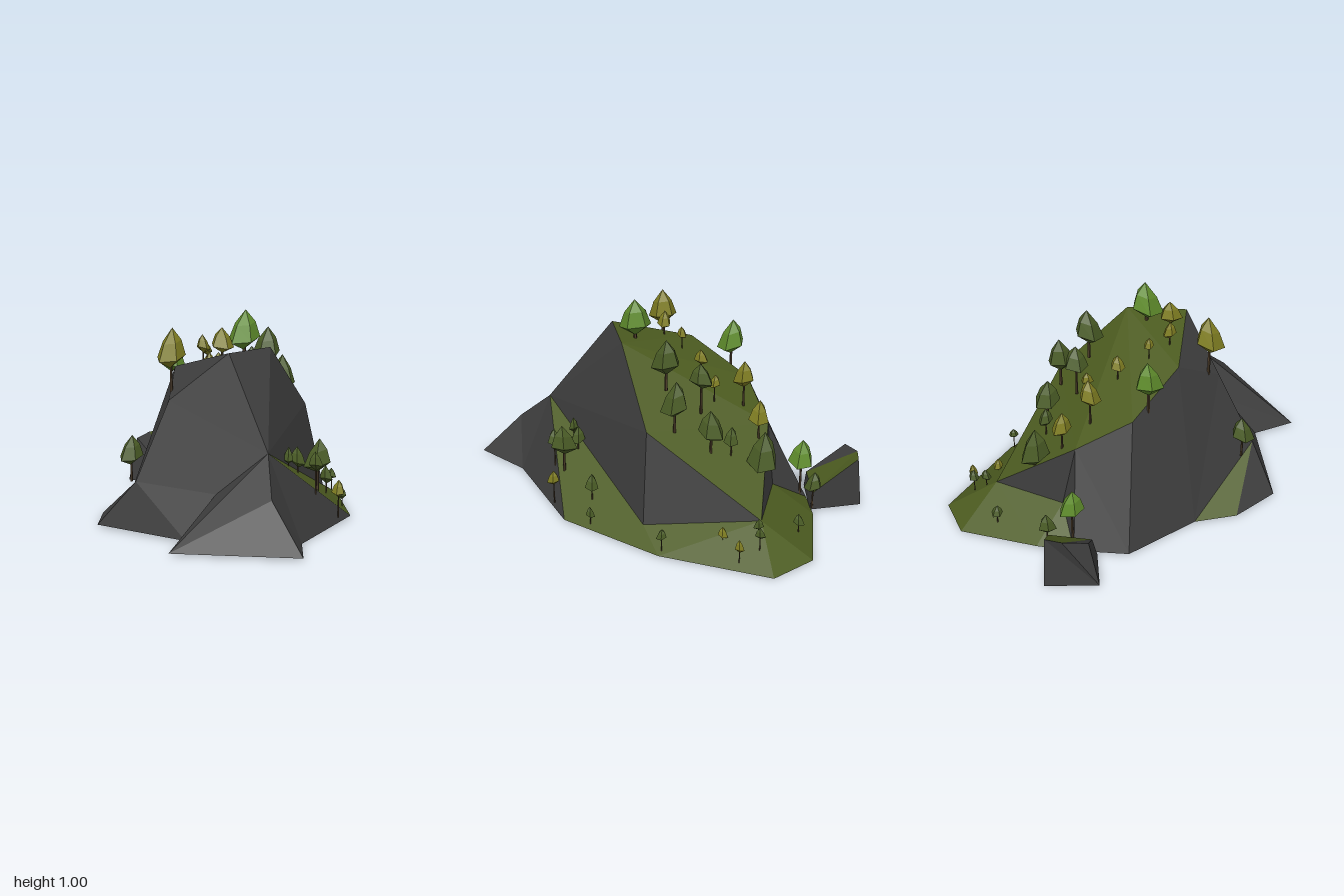
import * as THREE from 'three';

const flat = (name, color, side = THREE.FrontSide) => {
  const m = new THREE.MeshStandardMaterial({ color, flatShading: true, side });
  m.name = name;
  return m;
};

// Named corners of the hill
const hill = {
  peakL: [-0.15, 0.81, 0.28], peakR: [0.12, 0.82, 0.17],
  ridgeL: [-0.26, 0.72, -0.1], ridgeM: [-0.155, 0.57, -0.4], ridgeB: [0.075, 0.44, -0.535],
  cliffT: [0.41, 0.51, -0.01], cliffB: [0.52, 0.08, -0.015], cliffE: [0.49, 0.15, -0.565],
  shoulder: [-0.385, 0.585, 0.12], ledge: [-0.565, 0.22, 0.15],
  brow: [-0.11, 0.39, 0.605], nose: [-0.185, 0.22, 0.79], toe: [-0.14, 0.01, 0.995],
  toeR: [-0.01, 0, 0.74], toeL: [-0.62, 0.01, 0.68], crease: [-0.31, 0.2, 0.485], creaseB: [-0.47, 0.01, 0.51],
  west: [-0.72, 0.01, 0.05], westB: [-0.61, 0.01, -0.185], westC: [-0.44, 0.01, -0.31],
  back: [-0.24, 0, -0.64], backM: [0, 0.01, -0.73], backR: [0.17, 0.02, -0.78], foot: [0.13, 0.14, -0.575],
  skirtF: [0.445, 0.01, 0.39], skirtM: [0.66, 0.01, -0.115], skirtR: [0.72, 0, -0.656], skirtB: [0.555, 0.01, -0.815],
};
const hillRock = [
  'peakL brow peakR', 'peakR brow cliffT', 'cliffT brow cliffB', 'cliffT cliffB cliffE',
  'shoulder brow peakL', 'shoulder ledge brow', 'ledge crease brow', 'ledge creaseB crease', 'ledge west creaseB',
  'crease creaseB toeL', 'brow crease toeL', 'brow toeL nose', 'nose toeL toe', 'nose toe toeR', 'brow nose toeR',
  'brow toeR skirtF', 'west ledge westB', 'ledge shoulder westC', 'shoulder ridgeL westC', 'shoulder peakL ridgeL',
  'ridgeL ridgeM westC', 'westC ridgeM back', 'back ridgeM ridgeB', 'back ridgeB backM',
  'ridgeB foot backM', 'ridgeB cliffE foot',
];
const hillGrass = [
  'peakL peakR ridgeL', 'peakR ridgeM ridgeL', 'peakR ridgeB ridgeM', 'peakR cliffT ridgeB', 'cliffT cliffE ridgeB',
  'cliffE backR foot', 'cliffE skirtB backR', 'backR backM foot', 'cliffE skirtR skirtB', 'cliffE skirtM skirtR',
  'cliffE cliffB skirtM', 'cliffB skirtF skirtM', 'brow skirtF cliffB', 'ledge westC westB',
];

// Named corners of the small boulder behind the hill
const boulder = {
  a: [-0.21, 0.01, -0.9], b: [0.02, 0.01, -1], c: [0.12, 0.01, -0.76], d: [-0.11, 0.01, -0.71],
  ta: [-0.16, 0.24, -0.9], tm: [-0.06, 0.26, -0.965], tb: [0.02, 0.26, -0.975], tc: [0.11, 0.1, -0.77], td: [-0.09, 0.1, -0.72],
};
const boulderRock = ['a b tb', 'a tb tm', 'a tm ta', 'b c tc', 'b tc tb', 'c d td', 'c td tc', 'd a ta', 'd ta td', 'ta tm td'];
const boulderGrass = ['tm tb tc', 'tm tc td'];

// Triangles between named corners, each turned to face away from the centre
function facets(points, faces, centre, material, name) {
  const pos = [];
  const c0 = new THREE.Vector3(...centre);
  for (const face of faces) {
    const [a, b, c] = face.split(' ').map((k) => new THREE.Vector3(...points[k]));
    const n = b.clone().sub(a).cross(c.clone().sub(a));
    const out = n.dot(a.clone().sub(c0)) >= 0;
    for (const v of out ? [a, b, c] : [a, c, b]) pos.push(v.x, v.y, v.z);
  }
  const g = new THREE.BufferGeometry();
  g.setAttribute('position', new THREE.Float32BufferAttribute(pos, 3));
  g.computeVertexNormals();
  const mesh = new THREE.Mesh(g, material);
  mesh.name = name;
  return mesh;
}

// Trees: x, z, crown top, crown height, crown radius, trunk length below the crown
const darkTrees = [
  [-0.545, 0.04, 0.42, 0.14, 0.062, 0.08], [0.115, -0.77, 0.22, 0.11, 0.046, 0.09],
  [0.285, -0.54, 0.5, 0.21, 0.078, 0.1], [0.335, -0.3, 0.61, 0.15, 0.068, 0.09],
  [0.21, -0.23, 0.79, 0.13, 0.062, 0.13], [0.22, -0.065, 0.9, 0.18, 0.075, 0.08],
  [0.345, -0.13, 0.75, 0.18, 0.07, 0.08], [0.3, -0.39, 0.52, 0.1, 0.038, 0.08],
  [0.4, -0.73, 0.15, 0.06, 0.03, 0.06], [0.61, -0.575, 0.19, 0.06, 0.027, 0.12],
  [0.55, -0.56, 0.2, 0.06, 0.027, 0.06], [0.635, -0.125, 0.14, 0.055, 0.027, 0.07],
  [0.38, 0.265, 0.24, 0.09, 0.035, 0.1], [0.48, 0.25, 0.12, 0.06, 0.024, 0.04],
  [0.235, 0.44, 0.41, 0.16, 0.07, 0.14], [0.085, 0.43, 0.38, 0.08, 0.025, 0.06],
  [0.155, 0.39, 0.37, 0.1, 0.04, 0.08], [0.19, 0.5, 0.36, 0.09, 0.037, 0.12],
];
const oliveTrees = [
  [-0.35, 0.065, 0.92, 0.19, 0.076, 0.13], [-0.12, 0.14, 0.92, 0.12, 0.06, 0.05],
  [-0.165, 0.02, 0.88, 0.09, 0.036, 0.07], [-0.1, -0.08, 0.83, 0.06, 0.026, 0.08],
  [0.01, -0.195, 0.77, 0.08, 0.038, 0.07], [0.055, -0.41, 0.75, 0.14, 0.056, 0.11],
  [0.13, -0.28, 0.7, 0.07, 0.032, 0.07], [0.16, -0.5, 0.6, 0.13, 0.052, 0.08],
  [0.575, -0.4, 0.15, 0.06, 0.026, 0.06], [0.665, -0.49, 0.15, 0.07, 0.024, 0.07],
  [0.33, 0.47, 0.21, 0.08, 0.034, 0.1],
];
const brightTrees = [
  [0, 0.13, 1, 0.19, 0.084, 0.04], [-0.195, -0.31, 0.85, 0.18, 0.072, 0.1],
  [0.02, -0.7, 0.335, 0.155, 0.066, 0.17],
];

// Crown of unit height and radius: shallow foot, wide low belly, pointed top, skewed to one side
const crownShape = new THREE.LatheGeometry(
  [[0, 0], [0.95, 0.26], [0.62, 0.66], [0, 1]].map(([x, y]) => new THREE.Vector2(x, y)), 5);
const corners = crownShape.attributes.position;
for (let i = 0; i < corners.count; i++) {
  const x = corners.getX(i), y = corners.getY(i), z = corners.getZ(i);
  corners.setXYZ(i, x + 0.16 * (y - 0.4), y + 0.09 * x - 0.06 * z, z * (1 - 0.1 * x));
}
const trunkShape = new THREE.CylinderGeometry(0.7, 1, 1, 5);

function tree([x, z, top, h, r, trunkLength], leaf, bark, i) {
  const g = new THREE.Group();
  g.name = 'tree';
  const crown = new THREE.Mesh(crownShape, leaf);
  crown.name = 'crown';
  crown.scale.set(r, h, r);
  crown.rotation.y = i * 1.3;
  const trunk = new THREE.Mesh(trunkShape, bark);
  trunk.name = 'trunk';
  const length = trunkLength + h * 0.3;
  trunk.scale.set(r * 0.11, length, r * 0.11);
  trunk.position.y = h * 0.3 - length / 2;
  g.add(crown, trunk);
  g.position.set(x, top - h, z);
  return g;
}

export function createModel() {
  const model = new THREE.Group();
  model.name = 'woodedHill';
  const rock = flat('rock grey', 0x3d3d3d, THREE.DoubleSide);
  const grass = flat('grass green', 0x4c5b20, THREE.DoubleSide);
  const bark = flat('bark brown', 0x4a3a28);

  // Ground
  const c = [0, 0.05, 0], bc = [-0.04, 0.08, -0.86];
  model.add(
    facets(hill, hillRock, c, rock, 'hillRock'),
    facets(hill, hillGrass, c, grass, 'hillGrass'),
    facets(boulder, boulderRock, bc, rock, 'boulderRock'),
    facets(boulder, boulderGrass, bc, grass, 'boulderGrass'),
  );

  // Trees, grouped by leaf colour
  const kinds = [
    ['darkTrees', darkTrees, flat('leaf dark green', 0x4a5c26)],
    ['oliveTrees', oliveTrees, flat('leaf olive', 0x807e22)],
    ['brightTrees', brightTrees, flat('leaf bright green', 0x5f8c2c)],
  ];
  for (const [name, list, leaf] of kinds) {
    const grove = new THREE.Group();
    grove.name = name;
    list.forEach((t, i) => grove.add(tree(t, leaf, bark, i)));
    model.add(grove);
  }
  return model;
}
